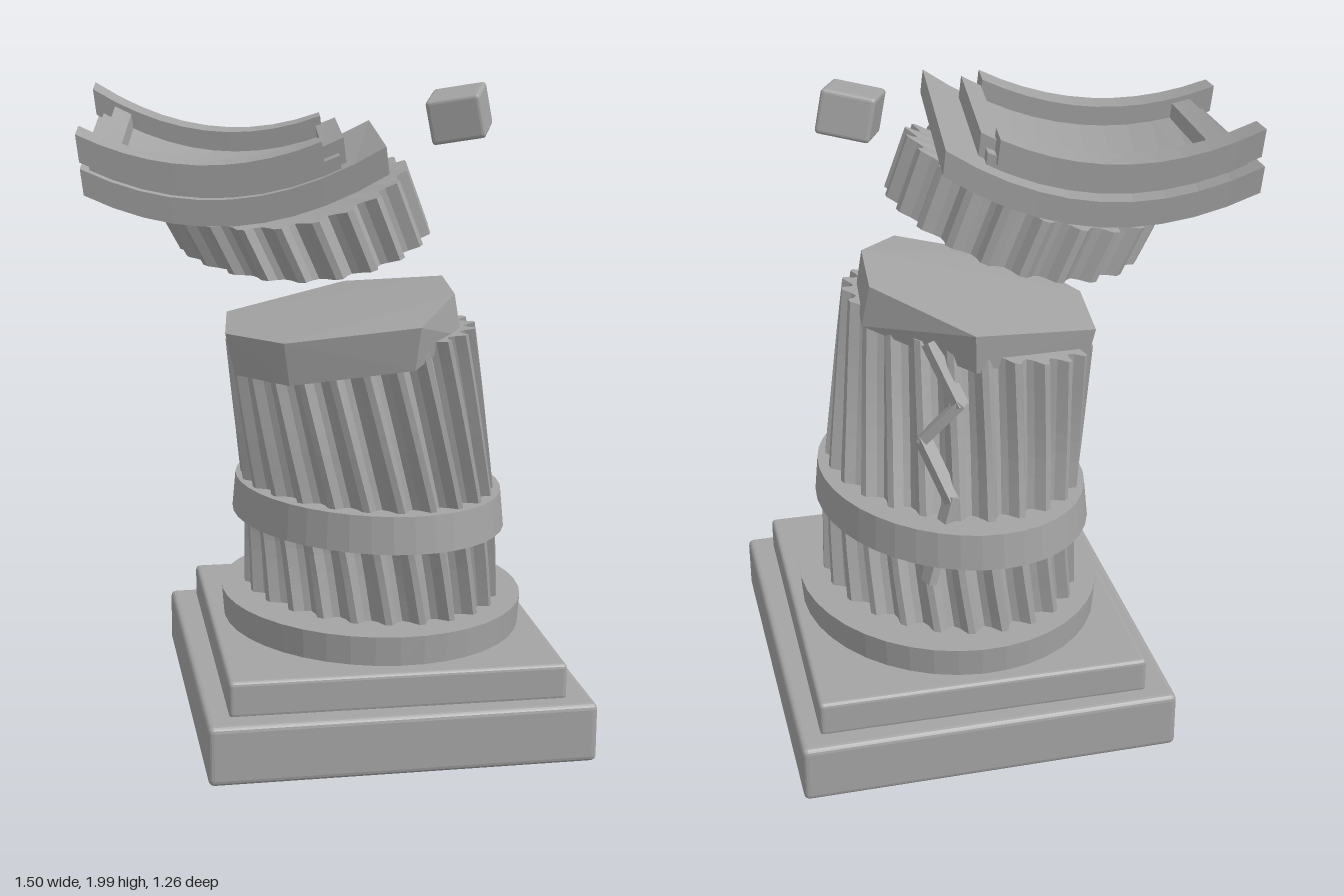
import * as THREE from 'three';
import { RoundedBoxGeometry } from 'three/addons/geometries/RoundedBoxGeometry.js';
import { ConvexGeometry } from 'three/addons/geometries/ConvexGeometry.js';

const stone = new THREE.MeshStandardMaterial({ color: 0xa4a4a4, flatShading: true });
stone.name = 'stone';
const lerp = THREE.MathUtils.lerp;

function add(group, name, geometry, x = 0, y = 0, z = 0) {
  const mesh = new THREE.Mesh(geometry, stone);
  mesh.name = name;
  mesh.position.set(x, y, z);
  group.add(mesh);
  return mesh;
}

// Closed fluted drum: place(cos, sin, t) puts a unit-circle point at height t
function fluted(flutes, steps, place) {
  const profile = [1, 1, 0.93, 0.9, 0.93];
  const n = flutes * profile.length;
  const pos = [], index = [];
  for (let k = 0; k <= steps; k++) {
    for (let i = 0; i < n; i++) {
      const a = (i / n) * Math.PI * 2, r = profile[i % profile.length];
      pos.push(...place(r * Math.cos(a), r * Math.sin(a), k / steps));
    }
  }
  for (let k = 0; k < steps; k++) {
    for (let i = 0; i < n; i++) {
      const a = k * n + i, b = k * n + (i + 1) % n;
      index.push(a, a + n, b, b, a + n, b + n);
    }
  }
  const bottom = pos.length / 3, top = bottom + 1;
  pos.push(...place(0, 0, 0), ...place(0, 0, 1));
  for (let i = 0; i < n; i++) {
    const j = (i + 1) % n;
    index.push(bottom, i, j, top, steps * n + j, steps * n + i);
  }
  const g = new THREE.BufferGeometry();
  g.setAttribute('position', new THREE.Float32BufferAttribute(pos, 3));
  g.setIndex(index);
  g.computeVertexNormals();
  return g;
}

// Squashed ring: a cylinder stretched to rx, rz and skewed along z
function skewedRing(topScale, bottomScale, height, rx, rz, skew) {
  const g = new THREE.CylinderGeometry(topScale, bottomScale, height, 40);
  const p = g.attributes.position;
  for (let i = 0; i < p.count; i++) {
    const x = p.getX(i), z = p.getZ(i);
    p.setXYZ(i, x * rx, p.getY(i), z * rz + x * skew);
  }
  g.computeVertexNormals();
  return g;
}

// Leaning centre line and skewed oval section of the shaft
const spine = new THREE.CatmullRomCurve3([
  new THREE.Vector3(0.165, 0.36, -0.02), new THREE.Vector3(0.155, 0.63, 0.005),
  new THREE.Vector3(0.112, 0.95, 0.055), new THREE.Vector3(0.075, 1.24, 0.08),
]);
const TWIST = 0.3;
function shaftPoint(c, s, t) {
  const p = spine.getPoint(t), w = t * TWIST;
  const x = c * Math.cos(w) - s * Math.sin(w), z = c * Math.sin(w) + s * Math.cos(w);
  const X = x * lerp(0.395, 0.362, t);
  const Z = z * lerp(0.42, 0.365, t) + x * lerp(0.07, 0.14, t);
  return [p.x + X, p.y + 0.13 * X * t, p.z + Z];
}

// Sagging, tilted sheet that carries the capital: u to the right, v to the front, h up
function sheetPoint(u, v, h) {
  const x = lerp(lerp(-0.63, -0.735, v), lerp(0.19, 0.09, v), u);
  const y = lerp(lerp(1.84, 1.735, v), lerp(1.825, 1.82, v), u) - 4 * u * (1 - u) * lerp(0.13, 0.117, v);
  const z = lerp(lerp(-0.55, 0.27, v), lerp(-0.17, 0.62, v), u);
  return [x - 0.12 * h, y + h, z];
}
function bentSlab(u0, u1, v0, v1, h0, h1) {
  const g = new THREE.BoxGeometry(1, 1, 1, 10, 1, 1);
  const p = g.attributes.position;
  for (let i = 0; i < p.count; i++) {
    p.setXYZ(i, ...sheetPoint(lerp(u0, u1, p.getX(i) + 0.5),
      lerp(v0, v1, p.getZ(i) + 0.5), lerp(h0, h1, p.getY(i) + 0.5)));
  }
  g.computeVertexNormals();
  return g;
}

// Thin bar between two points
function bar(group, name, a, b) {
  const m = add(group, name, new THREE.BoxGeometry(0.045, 0.03, a.distanceTo(b) + 0.02));
  m.position.copy(a).add(b).multiplyScalar(0.5);
  m.lookAt(b);
}

export function createModel() {
  const model = new THREE.Group();
  model.name = 'brokenColumn';

  // Plinth and base ring
  add(model, 'plinth', new RoundedBoxGeometry(1.175, 0.185, 1.26, 2, 0.018), 0.158, 0.0925, 0);
  const step = add(model, 'plinthStep', new RoundedBoxGeometry(1.025, 0.115, 1.125, 2, 0.014), 0.16, 0.235, -0.003);
  step.rotation.y = -0.012;
  add(model, 'baseRing', skewedRing(1, 0.985, 0.1, 0.475, 0.514, 0.03), 0.165, 0.335, -0.01);

  // Twisted shaft with its band
  add(model, 'shaft', fluted(24, 14, shaftPoint));
  add(model, 'shaftBand', skewedRing(0.975, 1, 0.115, 0.417, 0.465, 0.08), 0.15, 0.688, 0);

  // Broken faceted top of the shaft
  const rim = [
    [0.39, 1.39, 0], [0.36, 1.385, 0.3], [0.21, 1.33, 0.53], [-0.17, 1.27, 0.4],
    [-0.31, 1.25, 0.12], [-0.27, 1.26, -0.19], [0.13, 1.33, -0.3],
  ];
  const chunk = [];
  for (const [x, y, z] of rim) {
    chunk.push(new THREE.Vector3(x, y, z));
    chunk.push(new THREE.Vector3(0.06 + (x - 0.06) * (x > 0.3 ? 1.08 : 0.92), y - 0.13, 0.1 + (z - 0.1) * 0.95));
  }
  add(model, 'brokenTop', new ConvexGeometry(chunk));

  // Zigzag crack slivers on the back of the shaft
  const crack = [[-1.1, 1], [-1.35, 0.83], [-1.1, 0.68], [-1.35, 0.52], [-1.22, 0.24]].map(([a, t]) => {
    const w = a - t * TWIST;
    return new THREE.Vector3(...shaftPoint(1.01 * Math.cos(w), 1.01 * Math.sin(w), t));
  });
  for (let i = 0; i < crack.length - 1; i++) bar(model, 'crackSliver', crack[i], crack[i + 1]);

  // Floating fluted drum under the capital
  add(model, 'capitalDrum', fluted(22, 3, (c, s, t) => {
    const x = c * 0.37, z = s * 0.43 + c * 0.12;
    return [-0.07 + x * 0.97 - 0.07 * t,
      1.485 + 0.14 * x + 0.4 * x * x - 0.03 * z + t * (0.16 + 0.08 * x), 0.1 + z];
  }));

  // Sagging capital: slab, sunken panel and raised frame
  const capital = new THREE.Group();
  capital.name = 'capital';
  model.add(capital);
  add(capital, 'capitalSlab', bentSlab(0, 1, 0, 1, -0.038, 0.038));
  add(capital, 'capitalPanel', bentSlab(0.03, 0.86, 0.1, 0.96, 0.03, 0.075));
  add(capital, 'frameBack', bentSlab(0, 0.83, 0.06, 0.2, 0.055, 0.135));
  add(capital, 'frameFront', bentSlab(0, 0.81, 0.85, 0.99, 0.055, 0.135));
  add(capital, 'frameLeft', bentSlab(0.08, 0.14, 0.18, 0.87, 0.06, 0.12));
  add(capital, 'frameRight', bentSlab(0.81, 0.88, 0.16, 0.88, 0.04, 0.11));

  // Loose floating fragment
  const fragment = add(model, 'fragment', new RoundedBoxGeometry(0.165, 0.135, 0.19, 2, 0.012), 0.407, 1.905, 0.125);
  fragment.rotation.set(0.15, -0.35, 0.22);

  return model;
}
